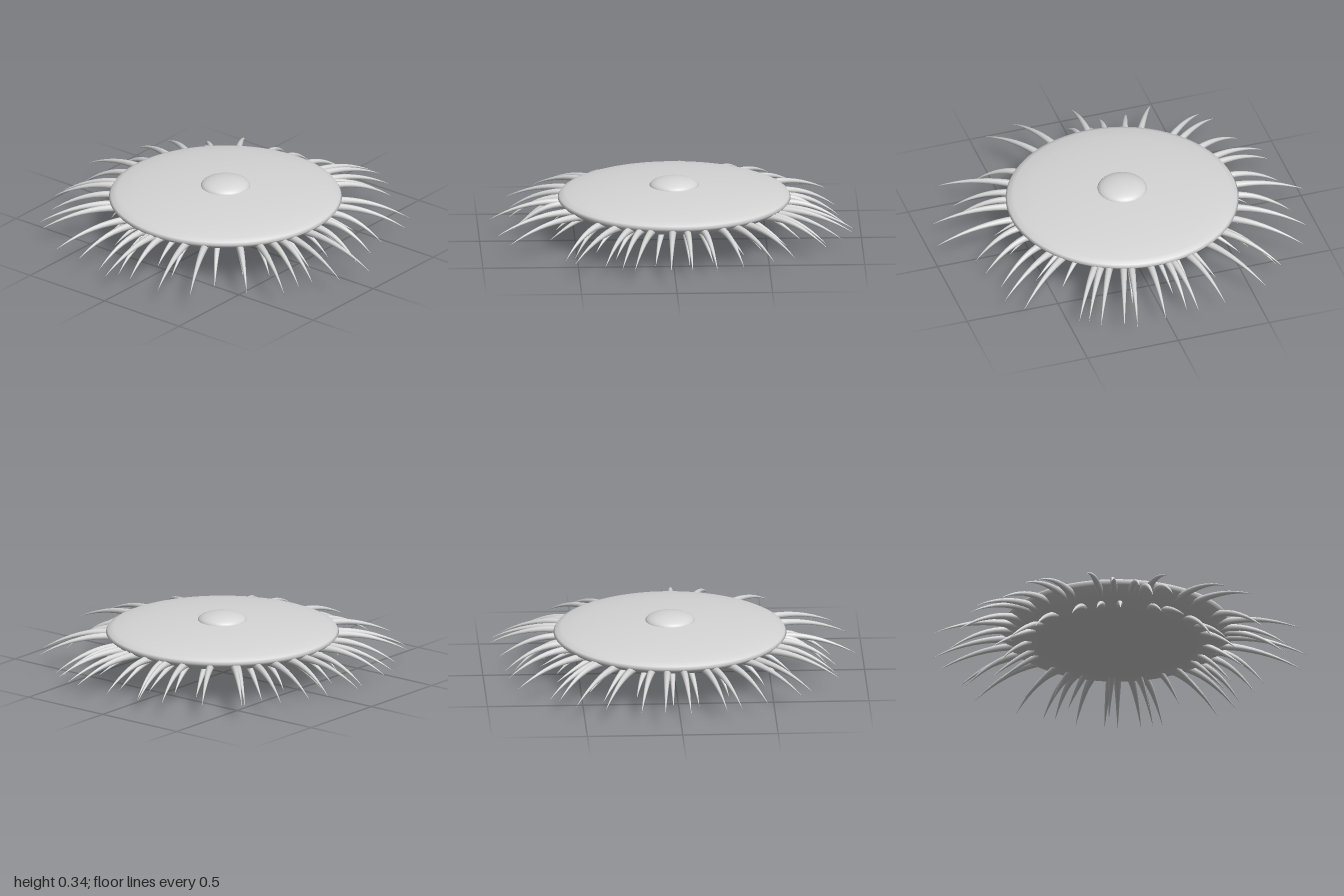
import * as THREE from 'three';

export function createModel() {
  const group = new THREE.Group();
  const grey = new THREE.MeshStandardMaterial({ color: 0xd6d6d6 });
  grey.name = 'plain grey';
  const CX = -0.01, CZ = -0.02;

  let seed = 11;
  const rand = () => (seed = (seed * 16807) % 2147483647) / 2147483647;

  function add(geometry, name, y = 0) {
    const mesh = new THREE.Mesh(geometry, grey);
    mesh.name = name;
    mesh.position.set(CX, y, CZ);
    group.add(mesh);
  }

  // Shallow lens-shaped disc, rounded underneath and domed on top
  const profile = [
    [0, 0.148], [0.3, 0.15], [0.42, 0.156], [0.5, 0.17], [0.56, 0.192],
    [0.597, 0.214], [0.61, 0.229], [0.601, 0.243], [0.57, 0.256], [0.48, 0.27],
    [0.36, 0.283], [0.2, 0.294], [0, 0.299],
  ].map(([r, y]) => new THREE.Vector2(r, y));
  add(new THREE.LatheGeometry(profile, 96), 'disc');

  // Low round knob on top
  const knob = new THREE.SphereGeometry(0.13, 48, 12, 0, Math.PI * 2, 0, Math.PI / 2);
  knob.scale(1, 0.34, 1);
  add(knob, 'topKnob', 0.292);

  // Curved spine: a tube whose rings shrink to a point at the tip
  function spine(angle, base, bend, tip, radius, name) {
    const at = ([r, y]) => new THREE.Vector3(Math.cos(angle) * r, y, Math.sin(angle) * r);
    const curve = new THREE.QuadraticBezierCurve3(at(base), at(bend), at(tip));
    const rings = 10, sides = 10;
    const geo = new THREE.TubeGeometry(curve, rings, radius, sides, false);
    const pos = geo.attributes.position, v = new THREE.Vector3();
    for (let i = 0; i <= rings; i++) {
      const centre = curve.getPointAt(i / rings);
      const taper = 1 - Math.pow(i / rings, 1.3);
      for (let j = 0; j <= sides; j++) {
        const k = i * (sides + 1) + j;
        v.fromBufferAttribute(pos, k).sub(centre).multiplyScalar(taper).add(centre);
        pos.setXYZ(k, v.x, v.y, v.z);
      }
    }
    add(geo, name);
  }

  // Outer spines, by x and z of the tip
  const tips = [
    [0.04, -0.92], [0.21, -0.96], [0.28, -0.95], [0.39, -0.89], [0.43, -0.81], [0.48, -0.80],
    [0.73, -0.63], [0.80, -0.52], [0.77, -0.36], [0.81, -0.22], [0.82, -0.09],
    [1.00, 0.03], [0.96, 0.22], [0.82, 0.28], [0.80, 0.37], [0.83, 0.53],
    [0.61, 0.57], [0.46, 0.86], [0.29, 0.92], [0.03, 0.83], [-0.04, 0.95],
    [-0.07, 0.80], [-0.16, 0.85], [-0.31, 0.84], [-0.45, 0.85], [-0.67, 0.70], [-0.73, 0.64],
    [-0.80, 0.46], [-0.89, 0.32], [-0.90, 0.24], [-0.90, 0.05], [-0.99, -0.09],
    [-0.88, -0.21], [-0.91, -0.40], [-0.84, -0.55], [-0.68, -0.68], [-0.66, -0.63],
    [-0.54, -0.84], [-0.30, -0.88], [-0.15, -0.89], [-0.10, -0.84],
  ];
  for (const [x, z] of tips) {
    const r = Math.hypot(x - CX, z - CZ);
    const tipY = 0.11 - Math.max(0, 0.98 - r) * 0.34;
    spine(Math.atan2(z - CZ, x - CX), [0.53, 0.2], [0.53 + (r - 0.53) * 0.5, 0.226],
      [r, tipY], 0.021, 'outerSpine');
  }

  // Inner spines, shorter and drooping from the underside
  const count = 24;
  for (let i = 0; i < count; i++) {
    const angle = ((i + (rand() - 0.5) * 0.7) / count) * Math.PI * 2;
    const r = 0.61 + rand() * 0.08;
    const tipY = i === 4 ? 0 : 0.03 + rand() * 0.045;
    spine(angle, [0.45, 0.168], [0.55, 0.145], [r, tipY], 0.017, 'innerSpine');
  }
  return group;
}
